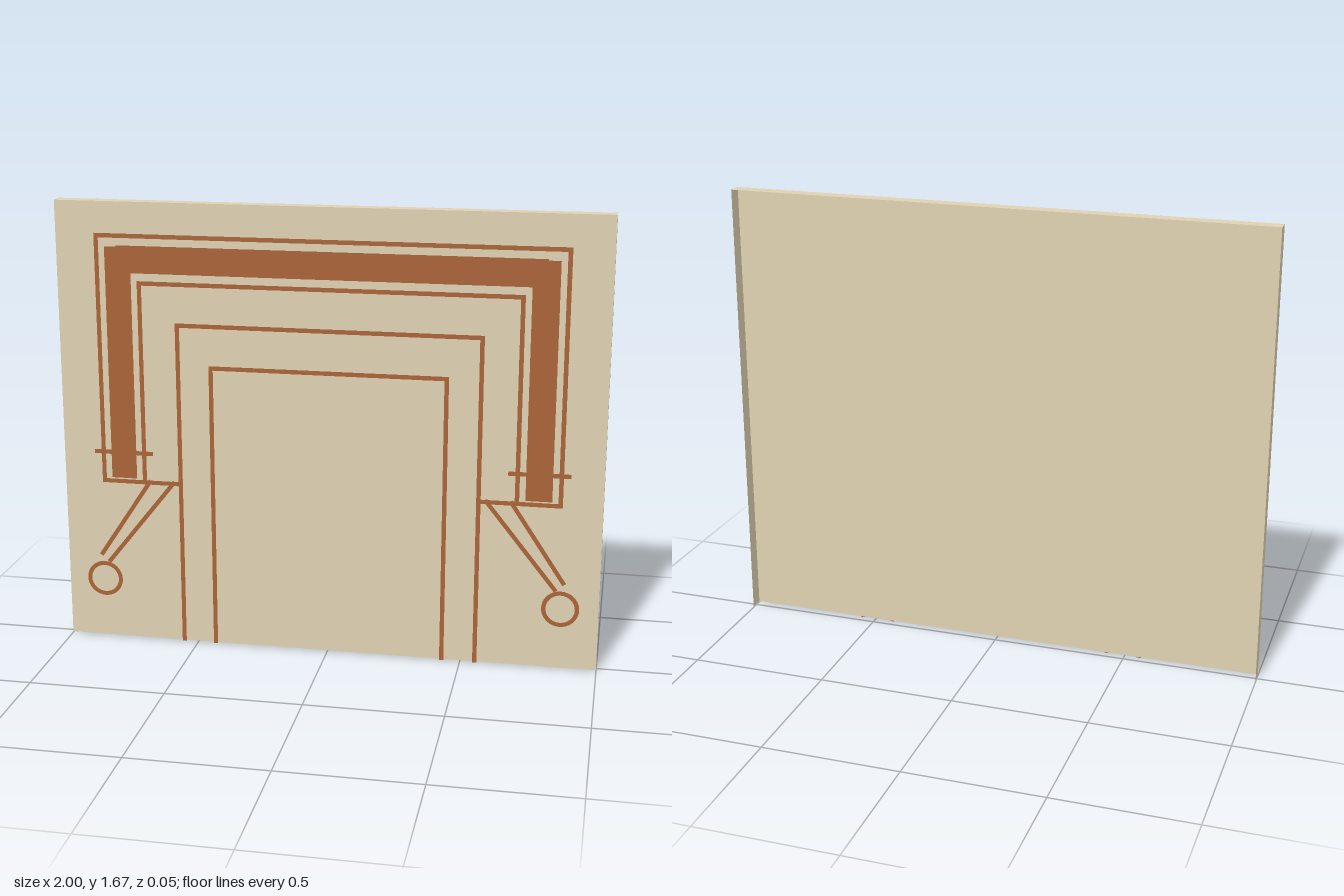
import * as THREE from 'three';

const FRONT = 0.025, BACK = -0.027, PAINT = 0.027, LINE = 0.016;
const BOTTOM = 0.004, TOP = 1.674;

export function createModel() {
  const model = new THREE.Group();
  model.name = 'decoratedPanel';
  const tan = new THREE.MeshStandardMaterial({ color: 0xdfd1b2, side: THREE.DoubleSide });
  tan.name = 'sandstone';
  const brown = new THREE.MeshStandardMaterial({ color: 0xaa6437, side: THREE.DoubleSide });
  brown.name = 'ochre paint';

  const add = (name, geometry, material, x, y, z) => {
    const mesh = new THREE.Mesh(geometry, material);
    mesh.name = name;
    mesh.position.set(x, y, z);
    model.add(mesh);
    return mesh;
  };

  // Flat painted stroke between two points, with square ends
  const stroke = (name, x1, y1, x2, y2, width = LINE, cap = LINE) => {
    const length = Math.hypot(x2 - x1, y2 - y1) + cap;
    const mesh = add(name, new THREE.PlaneGeometry(length, width), brown,
      (x1 + x2) / 2, (y1 + y2) / 2, PAINT);
    mesh.rotation.z = Math.atan2(y2 - y1, x2 - x1);
  };

  // Slab shell: front, top and two sides, open at the back and underneath
  const height = TOP - BOTTOM, depth = FRONT - BACK;
  const midY = (TOP + BOTTOM) / 2, midZ = (FRONT + BACK) / 2;
  add('panelFront', new THREE.PlaneGeometry(2, height), tan, 0, midY, FRONT);
  add('panelTop', new THREE.PlaneGeometry(2, depth), tan, 0, TOP, midZ).rotation.x = -Math.PI / 2;
  for (const s of [-1, 1]) {
    add('panelSide', new THREE.PlaneGeometry(depth, height), tan, s, midY, midZ)
      .rotation.y = s * Math.PI / 2;
  }

  // Nested outline frames: half width, top, bottom
  const frames = [
    ['outerFrame', 0.848, 1.551, 0.628],
    ['innerFrame', 0.692, 1.38, 0.628],
    ['outerDoorway', 0.554, 1.23, 0.008],
    ['innerDoorway', 0.431, 1.076, 0.008],
  ];
  for (const [name, x, top, bottom] of frames) {
    stroke(name + 'Top', -x, top, x, top);
    for (const s of [-1, 1]) stroke(name + 'Side', s * x, bottom, s * x, top);
  }

  // Broad filled band
  stroke('bandTop', -0.775, 1.466, 0.775, 1.466, 0.1, 0);

  // Ring at the foot of each pair of struts
  const ringGeometry = new THREE.RingGeometry(0.053, 0.069, 32);

  for (const s of [-1, 1]) {
    stroke('bandSide', s * 0.77, 0.64, s * 0.77, 1.511, 0.096, 0);
    stroke('frameBase', s * 0.554, 0.627, s * 0.848, 0.627);
    stroke('crossTick', s * 0.658, 0.739, s * 0.882, 0.739, LINE, 0);
    stroke('outerStrut', s * 0.674, 0.628, s * 0.868, 0.335);
    stroke('innerStrut', s * 0.583, 0.628, s * 0.838, 0.308);
    add('ring', ringGeometry, brown, s * 0.861, 0.234, PAINT);
  }
  return model;
}
